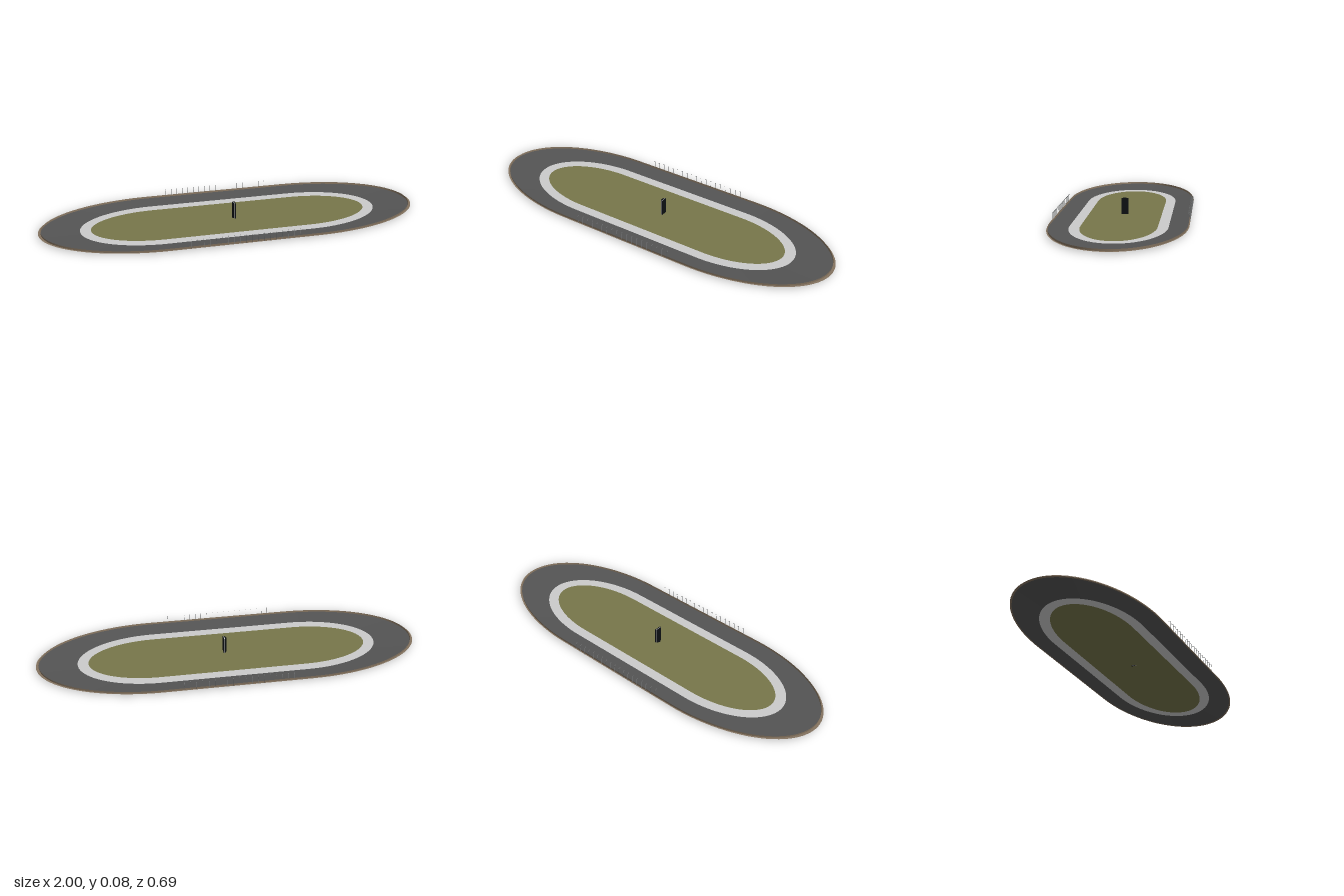
import * as THREE from 'three';

const mat = (name, color) => {
  const m = new THREE.MeshStandardMaterial({ color, side: THREE.DoubleSide });
  m.name = name;
  return m;
};

const STRAIGHT = 0.38; // half length of the straights
const ARC = 48;        // segments per turn

// Oval outline: two half ellipses joined by straights; rx and rz are the half extents
function oval(rx, rz) {
  const pts = [];
  for (const side of [1, -1]) {
    for (let i = 0; i <= ARC; i++) {
      const a = -Math.PI / 2 + (Math.PI * i) / ARC;
      pts.push([side * (STRAIGHT + (rx - STRAIGHT) * Math.cos(a)), side * rz * Math.sin(a)]);
    }
  }
  return pts;
}

// Strip between an inner and an outer oval, each given as [rx, rz, y]
function ovalStrip(inner, outer) {
  const a = oval(inner[0], inner[1]);
  const b = oval(outer[0], outer[1]);
  const n = a.length, pos = [], index = [];
  for (let i = 0; i < n; i++) {
    pos.push(a[i][0], inner[2], a[i][1], b[i][0], outer[2], b[i][1]);
    const p = 2 * i, q = 2 * ((i + 1) % n);
    index.push(p, q, p + 1, p + 1, q, q + 1);
  }
  const g = new THREE.BufferGeometry();
  g.setAttribute('position', new THREE.Float32BufferAttribute(pos, 3));
  g.setIndex(index);
  g.computeVertexNormals();
  return g;
}

export function createModel() {
  const group = new THREE.Group();
  group.name = 'ovalSpeedway';
  const asphalt = mat('asphalt', 0x545454);
  const concrete = mat('concrete', 0xcbcbcb);
  const grass = mat('grass', 0x77764a);
  const tan = mat('wallTan', 0x84735f);
  const black = mat('pylonBlack', 0x0c0f12);
  const steel = mat('fenceSteel', 0x77797a);

  const add = (name, geometry, material, parent = group) => {
    const m = new THREE.Mesh(geometry, material);
    m.name = name;
    parent.add(m);
    return m;
  };

  // Flat infield
  const field = new THREE.ShapeGeometry(
    new THREE.Shape(oval(0.732, 0.19).map(([x, z]) => new THREE.Vector2(x, -z))));
  field.rotateX(-Math.PI / 2);
  add('infield', field, grass);

  // Apron, banked racing surface, outer wall and ledge
  add('apron', ovalStrip([0.732, 0.19, 0], [0.788, 0.243, 0]), concrete);
  add('bankedTrack', ovalStrip([0.788, 0.243, 0], [0.986, 0.339, 0.008]), asphalt);
  add('outerWall', ovalStrip([0.986, 0.339, 0.008], [0.987, 0.34, 0.018]), tan);
  add('outerLedge', ovalStrip([0.986, 0.339, 0.008], [1, 0.345, 0.008]), tan);

  // Catch fence posts with tops bent over the track, along both straights
  for (const side of [1, -1]) {
    const fence = new THREE.Group();
    fence.name = side > 0 ? 'frontCatchFence' : 'backCatchFence';
    for (let i = -9; i <= 9; i++) {
      const x = i * 0.031;
      add('fencePost', new THREE.BoxGeometry(0.001, 0.04, 0.002), steel, fence)
        .position.set(x, 0.028, side * 0.344);
      const bend = add('fencePostTop', new THREE.BoxGeometry(0.001, 0.002, 0.012), steel, fence);
      bend.position.set(x, 0.0495, side * 0.3395);
      bend.rotation.x = side * 0.42;
    }
    group.add(fence);
  }

  // Scoring pylon: wedge pointing to -x, with a pale core and a black board behind
  const pylon = new THREE.Group();
  pylon.name = 'scoringPylon';
  const wedge = new THREE.ExtrudeGeometry(
    new THREE.Shape([[0.008, 0], [0.018, -0.018], [0.018, 0.018]].map(p => new THREE.Vector2(...p))),
    { depth: 0.083, bevelEnabled: false });
  wedge.rotateX(-Math.PI / 2);
  add('pylonWedge', wedge, black, pylon);
  add('pylonCore', new THREE.BoxGeometry(0.004, 0.082, 0.035), concrete, pylon)
    .position.set(0.02, 0.041, 0);
  add('pylonBoard', new THREE.BoxGeometry(0.004, 0.083, 0.036), black, pylon)
    .position.set(0.024, 0.0415, 0);
  pylon.position.z = 0.004;
  group.add(pylon);

  return group;
}
